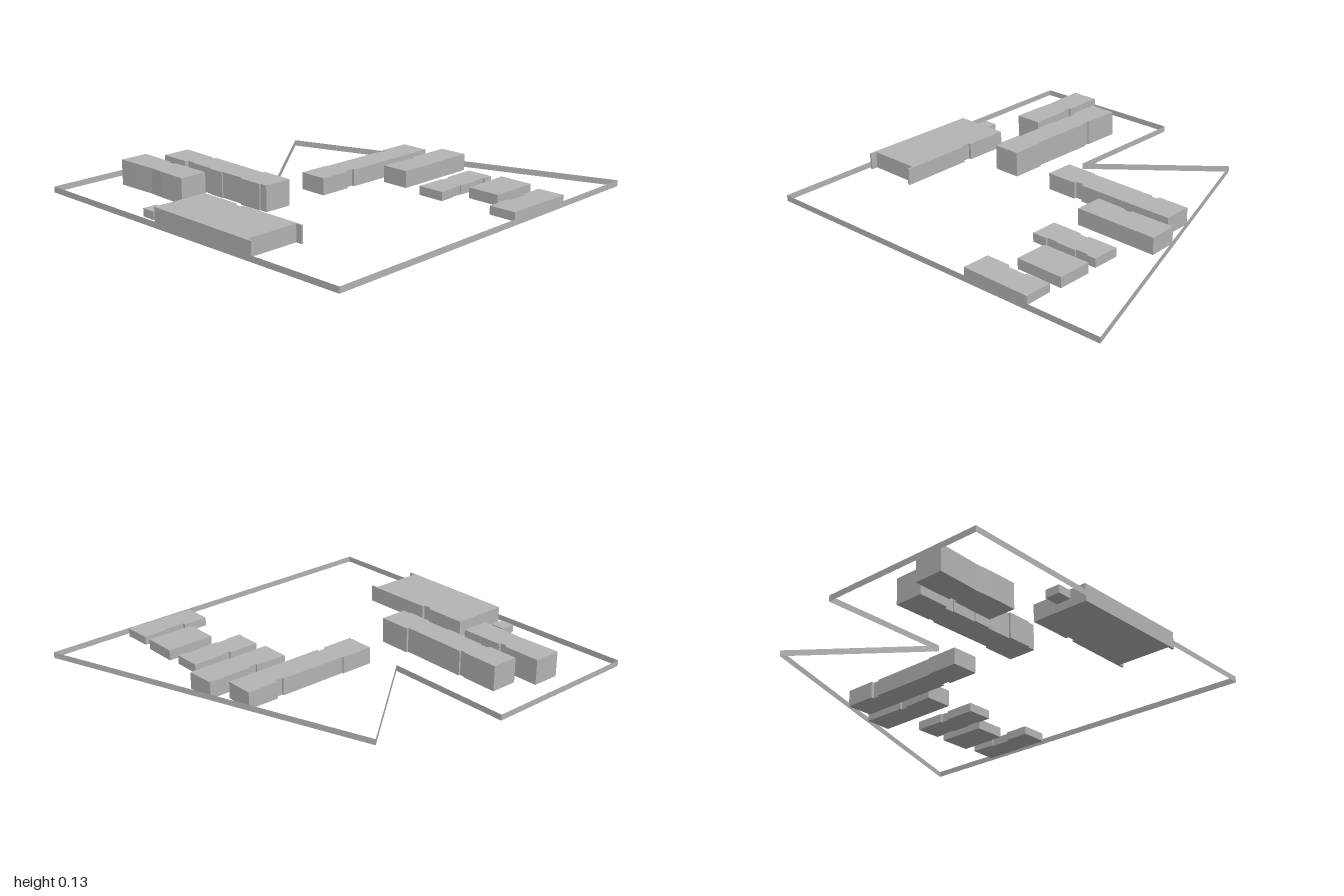
import * as THREE from 'three';

const wallGrey = new THREE.MeshStandardMaterial({ color: 0xb4b4b4 });
wallGrey.name = 'wallGrey';
wallGrey.side = THREE.DoubleSide;

// Upright block over a ground outline given as [x, z] corners
function block(name, height, outline) {
  const shape = new THREE.Shape(outline.map(([x, z]) => new THREE.Vector2(x, -z)));
  const geometry = new THREE.ExtrudeGeometry(shape, { depth: height, bevelEnabled: false });
  geometry.rotateX(-Math.PI / 2);
  const mesh = new THREE.Mesh(geometry, wallGrey);
  mesh.name = name;
  return mesh;
}

// Thin upright sheets along a closed ground outline
function boundary(height, outline) {
  const group = new THREE.Group();
  group.name = 'boundaryWall';
  outline.forEach(([x, z], i) => {
    const [x2, z2] = outline[(i + 1) % outline.length];
    const geometry = new THREE.PlaneGeometry(Math.hypot(x2 - x, z2 - z), height);
    geometry.rotateY(-Math.atan2(z2 - z, x2 - x));
    geometry.translate((x + x2) / 2, height / 2, (z + z2) / 2);
    const panel = new THREE.Mesh(geometry, wallGrey);
    panel.name = 'boundaryPanel';
    group.add(panel);
  });
  return group;
}

export function createModel() {
  const model = new THREE.Group();
  model.name = 'buildingSite';

  model.add(boundary(0.03, [
    [-1, -0.95], [-0.16, -0.96], [-0.16, -0.29], [0.41, -0.76], [1, 0.91], [-0.96, 0.945],
  ]));

  // Wide hall with short wing walls at the front and a side recess
  model.add(block('wideHall', 0.085, [
    [-0.957, -0.217], [-0.668, -0.217], [-0.668, 0.005], [-0.682, 0.005], [-0.682, 0.05],
    [-0.668, 0.05], [-0.662, 0.43], [-0.672, 0.43], [-0.672, 0.398], [-0.946, 0.398],
    [-0.946, 0.43], [-0.957, 0.43],
  ]));
  model.add(block('shed', 0.04, [
    [-0.92, -0.35], [-0.845, -0.35], [-0.845, -0.275], [-0.92, -0.275],
  ]));

  // Two tall blocks
  model.add(block('tallBlockShort', 0.128, [
    [-0.69, -0.825], [-0.545, -0.825], [-0.545, -0.625], [-0.558, -0.625], [-0.558, -0.588],
    [-0.545, -0.588], [-0.542, -0.367], [-0.685, -0.367], [-0.685, -0.51], [-0.68, -0.6],
    [-0.685, -0.7],
  ]));
  model.add(block('tallBlockLong', 0.128, [
    [-0.49, -0.742], [-0.347, -0.742], [-0.35, -0.55], [-0.356, -0.55], [-0.356, -0.52],
    [-0.347, -0.52], [-0.352, -0.17], [-0.341, -0.17], [-0.341, 0], [-0.485, 0], [-0.485, -0.04],
    [-0.492, -0.04], [-0.492, -0.17], [-0.482, -0.17], [-0.482, -0.31], [-0.488, -0.31],
    [-0.488, -0.4], [-0.482, -0.4], [-0.482, -0.53], [-0.476, -0.53], [-0.476, -0.575],
    [-0.49, -0.585],
  ]));

  // Row of lower blocks
  model.add(block('lowBlockLong', 0.085, [
    [-0.12, -0.145], [0.05, -0.145], [0.05, -0.138], [0.41, -0.138], [0.41, -0.128],
    [0.45, -0.128], [0.45, -0.145], [0.615, -0.145], [0.615, 0], [0.09, 0], [0.09, -0.015],
    [0.045, -0.015], [0.045, 0], [-0.12, 0],
  ]));
  model.add(block('lowBlockSecond', 0.085, [
    [0.247, 0.052], [0.41, 0.058], [0.41, 0.067], [0.45, 0.067], [0.45, 0.055], [0.685, 0.052],
    [0.69, 0.198], [0.247, 0.198],
  ]));
  model.add(block('lowBlockThird', 0.045, [
    [0.21, 0.32], [0.37, 0.32], [0.37, 0.33], [0.42, 0.33], [0.42, 0.32], [0.58, 0.318],
    [0.58, 0.458], [0.53, 0.458], [0.53, 0.45], [0.46, 0.45], [0.46, 0.458], [0.35, 0.458],
    [0.35, 0.452], [0.29, 0.452], [0.29, 0.46], [0.21, 0.46],
  ]));
  model.add(block('lowBlockFourth', 0.053, [
    [0.337, 0.52], [0.59, 0.515], [0.59, 0.69], [0.337, 0.69],
  ]));
  model.add(block('lowBlockFifth', 0.043, [
    [0.21, 0.745], [0.34, 0.745], [0.34, 0.76], [0.45, 0.76], [0.45, 0.75], [0.578, 0.745],
    [0.582, 0.888], [0.21, 0.888],
  ]));

  return model;
}
